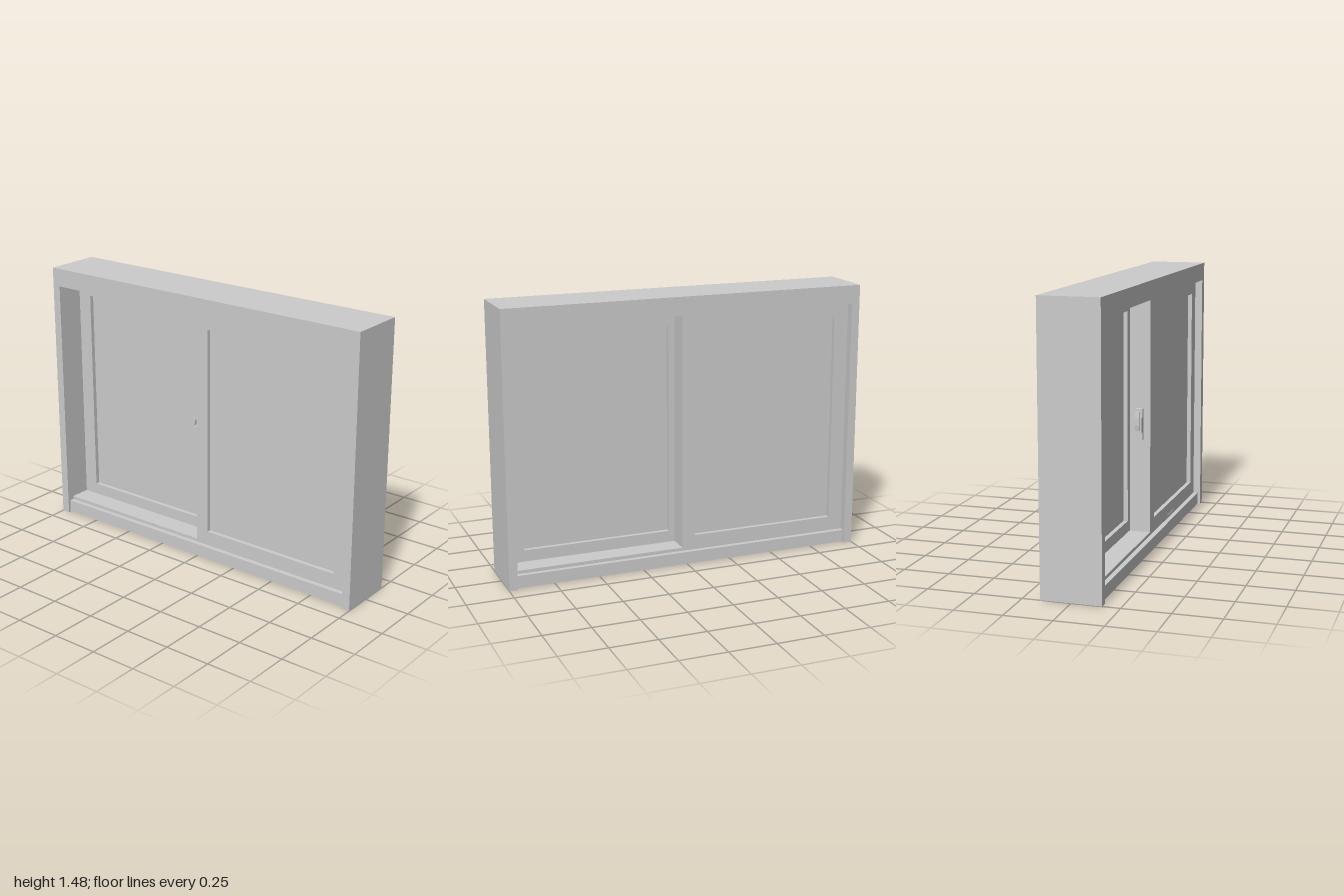
import * as THREE from 'three';

const material = new THREE.MeshStandardMaterial({ color: 0xcccccc, flatShading: true });

function add(parent, name, geometry, x = 0, y = 0, z = 0) {
  const mesh = new THREE.Mesh(geometry, material);
  mesh.name = name;
  mesh.position.set(x, y, z);
  parent.add(mesh);
  return mesh;
}

// Box given by its lower and upper limits
function block(parent, name, [x0, x1], [y0, y1], [z0, z1]) {
  return add(parent, name, new THREE.BoxGeometry(x1 - x0, y1 - y0, z1 - z0),
    (x0 + x1) / 2, (y0 + y1) / 2, (z0 + z1) / 2);
}

// Flat outline extruded along z, centred on z = 0
function slab(points, depth) {
  const shape = new THREE.Shape(points.map(([x, y]) => new THREE.Vector2(x, y)));
  const geometry = new THREE.ExtrudeGeometry(shape, { depth, bevelEnabled: false });
  return geometry.translate(0, 0, -depth / 2);
}

const rectangle = (x0, x1, y0, y1) => [[x0, y0], [x1, y0], [x1, y1], [x0, y1]];

// Sliding sash: rectangular frame with a pane set into it
function createSash(name) {
  const sash = new THREE.Group();
  sash.name = name;
  const depth = 0.115;
  const shape = new THREE.Shape(rectangle(-0.02, 0.954, 0.09, 1.375).map(p => new THREE.Vector2(...p)));
  shape.holes.push(new THREE.Path(rectangle(0.055, 0.873, 0.153, 1.3).map(p => new THREE.Vector2(...p))));
  const frame = new THREE.ExtrudeGeometry(shape, { depth, bevelEnabled: false });
  add(sash, 'sashFrame', frame, 0, 0, -depth / 2);
  block(sash, 'pane', [0.055, 0.873], [0.153, 1.3], [-0.034, 0.034]);
  return sash;
}

// Latch on the meeting edge of the front sash
function createLatch() {
  const latch = new THREE.Group();
  latch.name = 'latch';
  add(latch, 'latchBase', slab([
    [-0.02, 0.605], [-0.043, 0.605], [-0.043, 0.648], [-0.062, 0.648],
    [-0.062, 0.73], [-0.043, 0.73], [-0.043, 0.775], [-0.02, 0.775],
  ], 0.04));
  add(latch, 'latchLever', slab([
    [-0.06, 0.66], [-0.072, 0.66], [-0.077, 0.69], [-0.077, 0.735],
    [-0.073, 0.765], [-0.065, 0.765], [-0.067, 0.735], [-0.06, 0.72],
  ], 0.026));
  return latch;
}

export function createModel() {
  const model = new THREE.Group();
  model.name = 'slidingWindow';

  // Jambs and head in one piece
  add(model, 'outerFrame', slab([
    [-1, 0], [-0.954, 0], [-0.954, 1.375], [0.954, 1.375],
    [0.954, 0], [1, 0], [1, 1.475], [-1, 1.475],
  ], 0.315));

  // Sill, set slightly back from the jambs, with the raised track on it
  block(model, 'sill', [-0.954, 0.954], [0.004, 0.072], [-0.143, 0.143]);
  block(model, 'track', [-0.954, 0.954], [0.072, 0.09], [-0.116, 0.116]);

  // Two overlapping sashes, the rear one turned half round
  const front = createSash('frontSash');
  front.position.z = 0.058;
  front.add(createLatch());
  const back = createSash('backSash');
  back.rotation.y = Math.PI;
  back.position.z = -0.058;
  model.add(front, back);

  return model;
}
